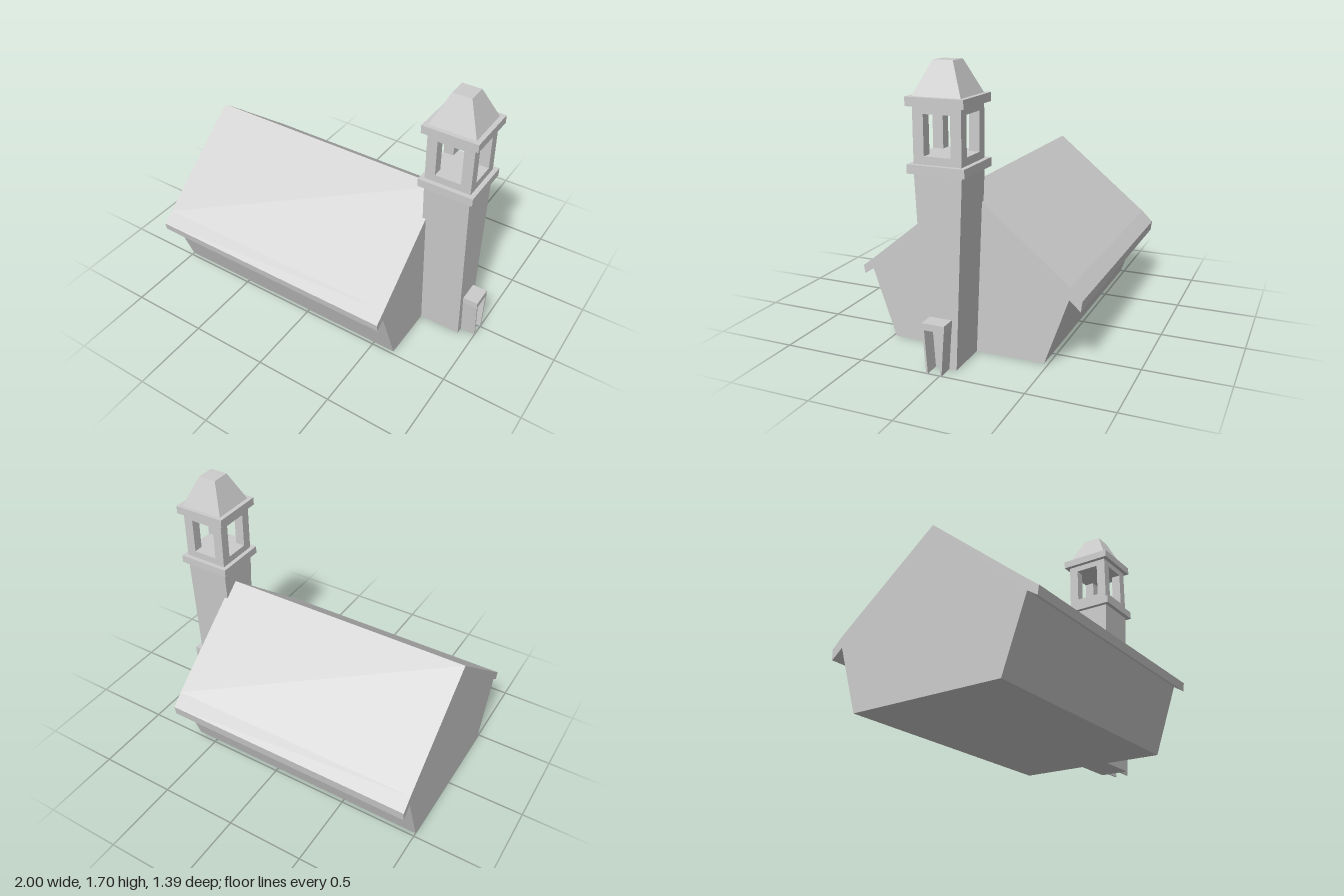
import * as THREE from 'three';

const material = new THREE.MeshStandardMaterial({ color: 0xcccccc, flatShading: true, side: THREE.DoubleSide });

function add(parent, name, geometry, x = 0, y = 0, z = 0) {
  const mesh = new THREE.Mesh(geometry, material);
  mesh.name = name;
  mesh.position.set(x, y, z);
  parent.add(mesh);
  return mesh;
}

// Extrudes a (z, y) outline along x from x0 to x1
function extrudeX(points, x0, x1) {
  const shape = new THREE.Shape(points.map(([z, y]) => new THREE.Vector2(-z, y)));
  const geometry = new THREE.ExtrudeGeometry(shape, { depth: x1 - x0, bevelEnabled: false });
  return geometry.rotateY(Math.PI / 2).translate(x0, 0, 0);
}

// Box whose top has its own width and depth
function taperedBox(bottomW, bottomD, topW, topD, height) {
  const geometry = new THREE.BoxGeometry(1, height, 1);
  const p = geometry.attributes.position;
  for (let i = 0; i < p.count; i++) {
    const top = p.getY(i) > 0;
    p.setX(i, p.getX(i) * (top ? topW : bottomW));
    p.setZ(i, p.getZ(i) * (top ? topD : bottomD));
  }
  geometry.computeVertexNormals();
  return geometry;
}

export function createModel() {
  const model = new THREE.Group();
  model.name = 'chapel';

  // Hall with gabled roof and drooping eaves
  add(model, 'hall', extrudeX([
    [0.48, 0], [0.625, 0.415], [0.685, 0.375], [0.693, 0.427], [0.62, 0.483],
    [0, 0.988],
    [-0.62, 0.479], [-0.693, 0.408], [-0.685, 0.345], [-0.617, 0.405], [-0.475, 0],
  ], -1, 0.64));

  // Bell tower, flaring upward across z
  const tower = new THREE.Group();
  tower.name = 'bellTower';
  tower.position.set(0.762, 0, 0.035);
  model.add(tower);
  const w = 0.286, d = 0.284;
  add(tower, 'towerShaft', taperedBox(w, 0.184, w, d, 1.105), 0, 0.5525);
  for (const y of [1.13, 1.49]) add(tower, 'cornice', new THREE.BoxGeometry(0.342, 0.05, 0.34), 0, y);

  // Open belfry
  const post = 0.063;
  add(tower, 'belfrySill', new THREE.BoxGeometry(w, 0.045, d), 0, 1.1775);
  add(tower, 'belfryLintel', new THREE.BoxGeometry(w, 0.04, d), 0, 1.445);
  for (const sx of [-1, 1]) for (const sz of [-1, 1]) {
    add(tower, 'belfryPost', new THREE.BoxGeometry(post, 0.225, post),
      sx * (w - post) / 2, 1.3125, sz * (d - post) / 2);
  }

  // Truncated pyramid cap
  add(tower, 'towerRoof', taperedBox(w, d, 0.118, 0.118, 0.185), 0, 1.6075);

  // Entrance porch: lintel on two thin leaning walls
  const porch = new THREE.Group();
  porch.name = 'porch';
  porch.position.z = 0.035;
  model.add(porch);
  add(porch, 'porchLintel', new THREE.BoxGeometry(0.105, 0.04, 0.135), 0.9475, 0.275);
  for (const s of [-1, 1]) {
    add(porch, 'porchWall', extrudeX([
      [s * 0.047, 0], [s * 0.066, 0.255], [s * 0.054, 0.255], [s * 0.037, 0],
    ], 0.895, 1));
  }

  return model;
}
